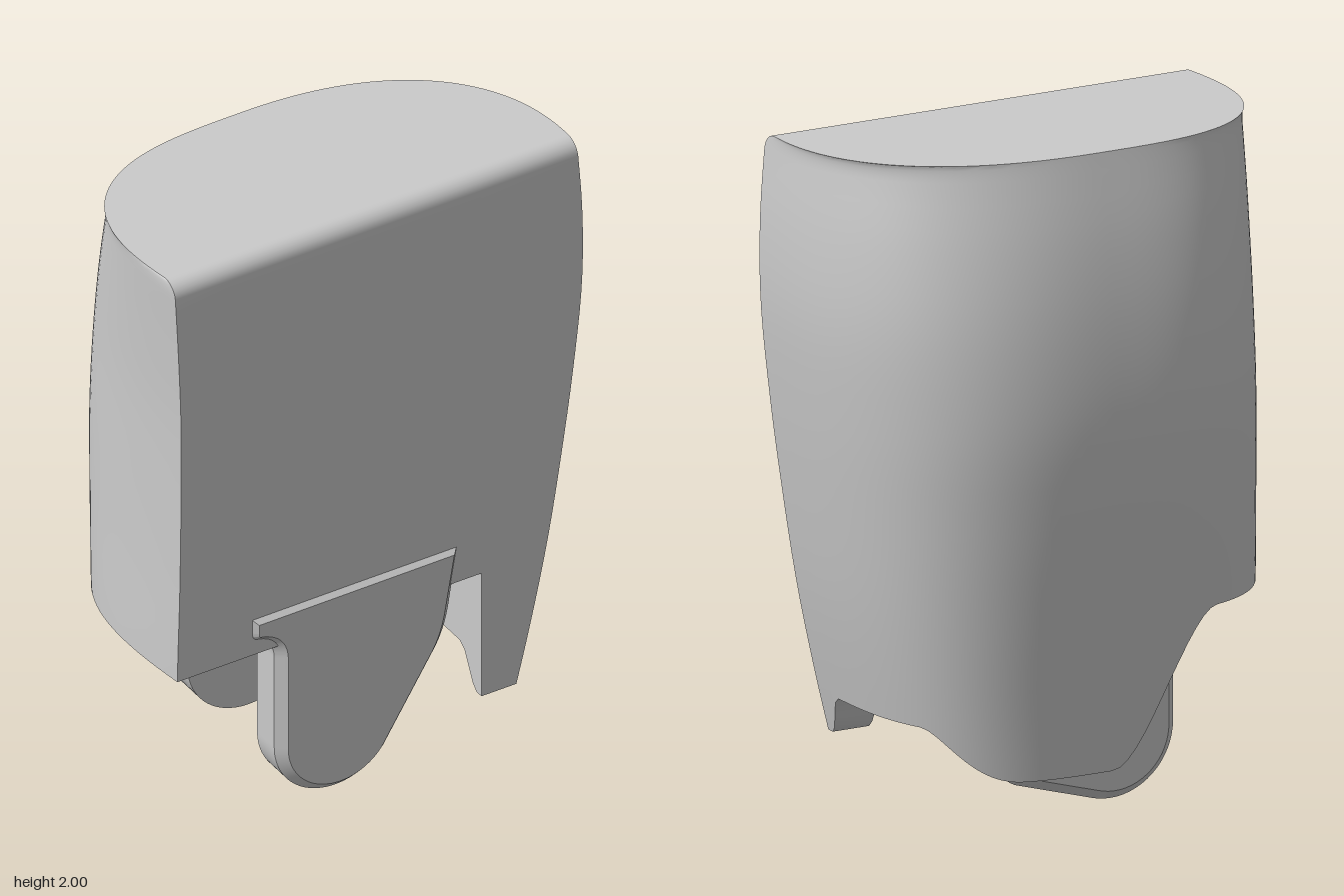
import * as THREE from 'three';
import { toCreasedNormals } from 'three/addons/utils/BufferGeometryUtils.js';

const FRONT = 0.385, MID_X = -0.07, ROOF = 0.58, POCKET_X = 0.36, POCKET_Z = -0.23;
const { smoothstep, lerp } = THREE.MathUtils;

// Profiles by height: back z, right edge x, left edge x, squareness of the section
const heights = [0, 0.3, 0.6, 0.9, 1.2, 1.5, 1.75, 2];
const profile = new THREE.CubicInterpolant(heights, [
  -0.28, 0.445, -0.69, 3.0,
  -0.313, 0.52, -0.69, 3.0,
  -0.35, 0.585, -0.688, 2.9,
  -0.382, 0.635, -0.68, 2.8,
  -0.4, 0.677, -0.676, 2.7,
  -0.38, 0.707, -0.676, 2.6,
  -0.335, 0.708, -0.685, 2.45,
  -0.265, 0.69, -0.698, 2.3,
], 4);

// Front plane, rolled back along the top edge
function frontZ(y) {
  const k = Math.min(1, Math.max(0, (y - 1.95) / 0.05));
  return FRONT - 0.05 * (1 - Math.sqrt(1 - k * k));
}

// Point on the curved side and back wall, t = 0 (right front) to PI (left front)
function wallPoint(t, y) {
  const [back, right, left, n] = profile.evaluate(y);
  const f = frontZ(y), c = Math.cos(t);
  const e = 2 / (c < 0 ? n + 0.9 : n);
  const s = Math.pow(Math.max(0, Math.sin(t)), e);
  const w = Math.pow(Math.abs(c), e);
  const x = c < 0
    ? MID_X + (left - MID_X) * w - 0.1 * s * (1 - s)
    : MID_X + (right - MID_X) * w;
  return [x, y, f - (f - back) * s];
}

// Lower edge of the curved wall: side arch, back skirt, high left side
function wallBottom([x, , z]) {
  const skirt = 0.27 - 0.13 * smoothstep(z, 0.27, 0.36) - 0.16 * smoothstep(-z, 0.1, 0.27);
  return lerp(skirt, ROOF, smoothstep(-x, 0.1, 0.43));
}

function bodyGeometry() {
  // Columns around the body, each with its own lower edge
  const columns = [];
  const STEPS = 44;
  for (let i = 0; i <= 2 * STEPS; i++) {
    const w = (i % STEPS) / STEPS;
    const t = (Math.floor(i / STEPS) + (1 - Math.cos(Math.PI * w)) / 2) * Math.PI / 2;
    let bottom = 0.25;
    for (let k = 0; k < 4; k++) bottom = wallBottom(wallPoint(t, bottom));
    columns.push({ at: (y) => wallPoint(t, y), bottom });
  }
  for (const [x, bottom] of [[-0.4, ROOF], [0, ROOF], [POCKET_X, ROOF], [POCKET_X, 0.14]]) {
    columns.push({ at: (y) => [x, y, frontZ(y)], bottom });
  }
  columns.push(columns[0]);

  // Each column runs: top centre, rolled edge, wall, rim, pocket wall, pocket roof
  const ROWS = 26;
  const grid = columns.map(({ at, bottom }) => {
    const pts = [[0, 2, 0.05]];
    for (let k = 6; k > 0; k--) pts.push(at(1.95 + 0.05 * Math.sin(k / 6 * Math.PI / 2)));
    for (let k = 0; k <= ROWS; k++) pts.push(at(lerp(1.95, bottom, k / ROWS)));
    const [x, , z] = at(bottom);
    const ix = Math.min(x, POCKET_X), iz = Math.max(z, POCKET_Z);
    pts.push([ix, bottom, iz], [ix, ROOF, iz], [-0.1, ROOF, 0.1]);
    return pts;
  });

  const rows = grid[0].length;
  const index = [];
  for (let j = 0; j < grid.length - 1; j++) {
    for (let i = 0; i < rows - 1; i++) {
      const a = j * rows + i, b = a + rows;
      index.push(a, a + 1, b, a + 1, b + 1, b);
    }
  }
  const geo = new THREE.BufferGeometry();
  geo.setAttribute('position', new THREE.Float32BufferAttribute(grid.flat(2), 3));
  geo.setIndex(index);
  return toCreasedNormals(geo, 0.6);
}

// Hinge lug plate, chamfered on its +z face only
function lugGeometry(shape, thickness) {
  const chamfer = 0.03;
  const geo = new THREE.ExtrudeGeometry(shape, {
    depth: thickness - chamfer, bevelEnabled: true, bevelSegments: 1,
    bevelSize: chamfer, bevelThickness: chamfer, bevelOffset: -chamfer, curveSegments: 20,
  });
  const p = geo.attributes.position;
  for (let i = 0; i < p.count; i++) p.setZ(i, Math.max(0, p.getZ(i)));
  geo.computeVertexNormals();
  return toCreasedNormals(geo, 0.5);
}

function frontLugShape() {
  const s = new THREE.Shape();
  s.moveTo(0.29, 0.72);
  s.lineTo(-0.445, 0.72);
  s.lineTo(-0.445, 0.66);
  s.quadraticCurveTo(-0.445, 0.62, -0.41, 0.615);
  s.quadraticCurveTo(-0.345, 0.6, -0.345, 0.53);
  s.lineTo(-0.345, 0.21);
  s.absarc(-0.135, 0.21, 0.21, Math.PI, Math.PI * 1.79, false);
  s.lineTo(0.2, 0.35);
  s.quadraticCurveTo(0.24, 0.41, 0.255, 0.5);
  s.lineTo(0.29, 0.72);
  return s;
}

function rearLugShape(mirror) {
  const s = new THREE.Shape();
  s.moveTo(mirror * 0.36, 0.6);
  s.lineTo(mirror * -0.41, 0.6);
  s.lineTo(mirror * -0.345, 0.53);
  s.lineTo(mirror * -0.345, 0.21);
  for (let k = 1; k <= 18; k++) {
    const a = Math.PI * (1 + 0.6 * k / 18);
    s.lineTo(mirror * (-0.135 + 0.21 * Math.cos(a)), 0.21 + 0.21 * Math.sin(a));
  }
  s.lineTo(mirror * 0.18, 0.085);
  s.quadraticCurveTo(mirror * 0.22, 0.1, mirror * 0.22, 0.14);
  s.lineTo(mirror * 0.22, 0.35);
  s.lineTo(mirror * 0.36, 0.53);
  s.lineTo(mirror * 0.36, 0.6);
  return s;
}

export function createModel() {
  const group = new THREE.Group();
  const material = new THREE.MeshStandardMaterial({ color: 0xcccccc });
  const add = (name, geometry) => {
    const mesh = new THREE.Mesh(geometry, material);
    mesh.name = name;
    group.add(mesh);
    return mesh;
  };

  add('bodyShell', bodyGeometry());

  const frontLug = add('frontHingeLug', lugGeometry(frontLugShape(), 0.125));
  frontLug.position.z = 0.275;

  // Turned round so that its chamfer faces the back
  const rearLug = add('rearHingeLug', lugGeometry(rearLugShape(-1), 0.13));
  rearLug.rotation.y = Math.PI;
  rearLug.position.z = -0.11;

  return group;
}
